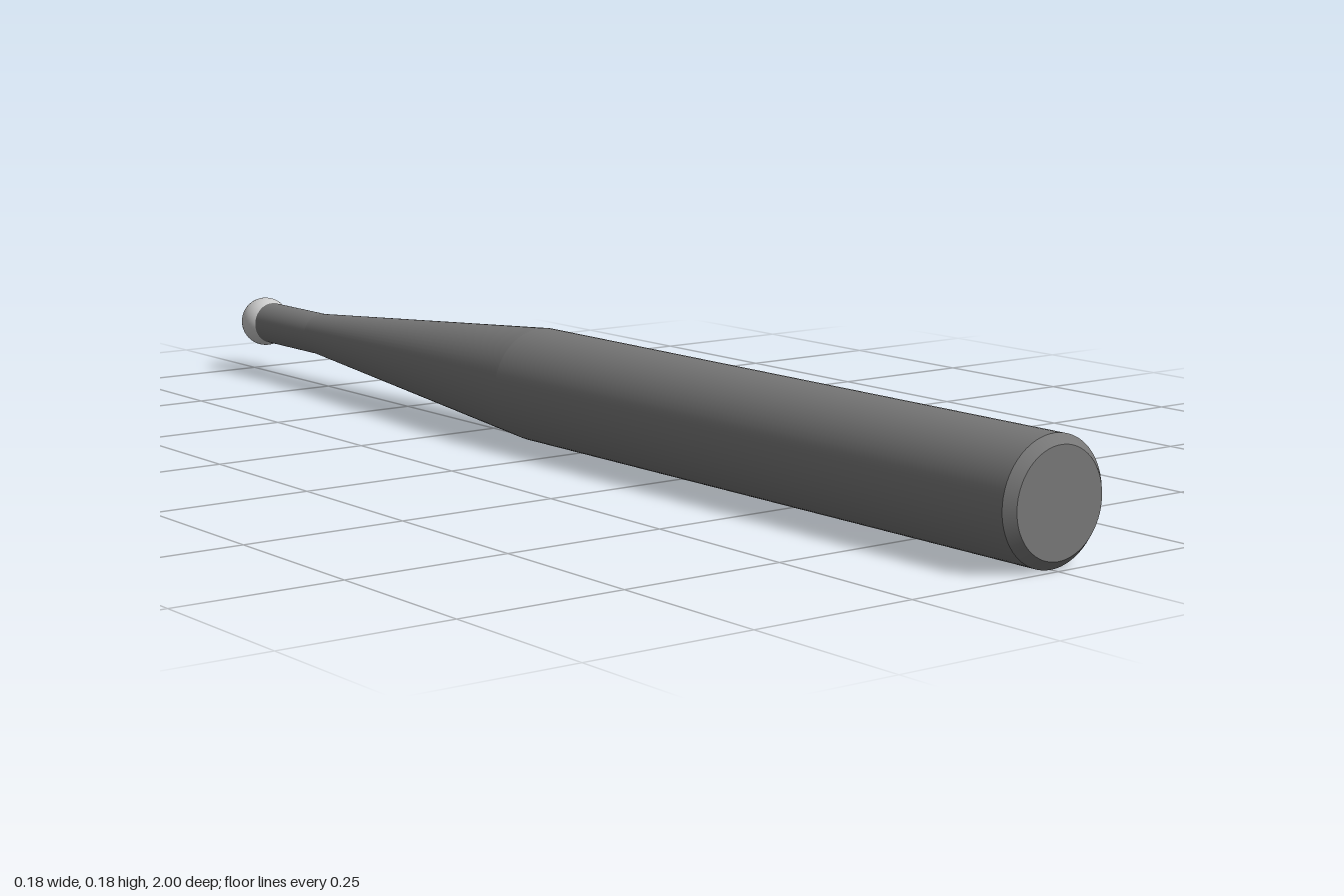
import * as THREE from 'three';
import { mergeGeometries } from 'three/addons/utils/BufferGeometryUtils.js';

const AXIS_Y = 0.09; // height of the tool axis

// Turned body along z; each section is its own lathe so the edges stay sharp
function turned(profile, segments) {
  const sections = [];
  for (let i = 0; i < profile.length - 1; i++) {
    const pair = [profile[i], profile[i + 1]].map(([r, z]) => new THREE.Vector2(r, z));
    sections.push(new THREE.LatheGeometry(pair, segments));
  }
  return mergeGeometries(sections).rotateX(Math.PI / 2);
}

export function createModel() {
  const model = new THREE.Group();
  model.name = 'ballNoseTool';

  // Shank: neck, long taper, straight barrel and chamfered end, as [radius, z]
  const shank = new THREE.Mesh(
    turned([
      [0, -0.935],
      [0.035, -0.935],
      [0.035, -0.77],
      [0.0885, -0.12],
      [0.0885, 0.987],
      [0.0755, 1],
      [0, 1],
    ], 64),
    new THREE.MeshStandardMaterial({ color: 0x777777 })
  );
  shank.name = 'shank';
  shank.position.y = AXIS_Y;

  // Ball tip at the back end
  const ball = new THREE.Mesh(
    new THREE.SphereGeometry(0.042, 48, 32).rotateX(Math.PI / 2),
    new THREE.MeshStandardMaterial({ color: 0xcccccc })
  );
  ball.name = 'ballTip';
  ball.position.set(0, AXIS_Y, -0.958);

  model.add(shank, ball);
  return model;
}
